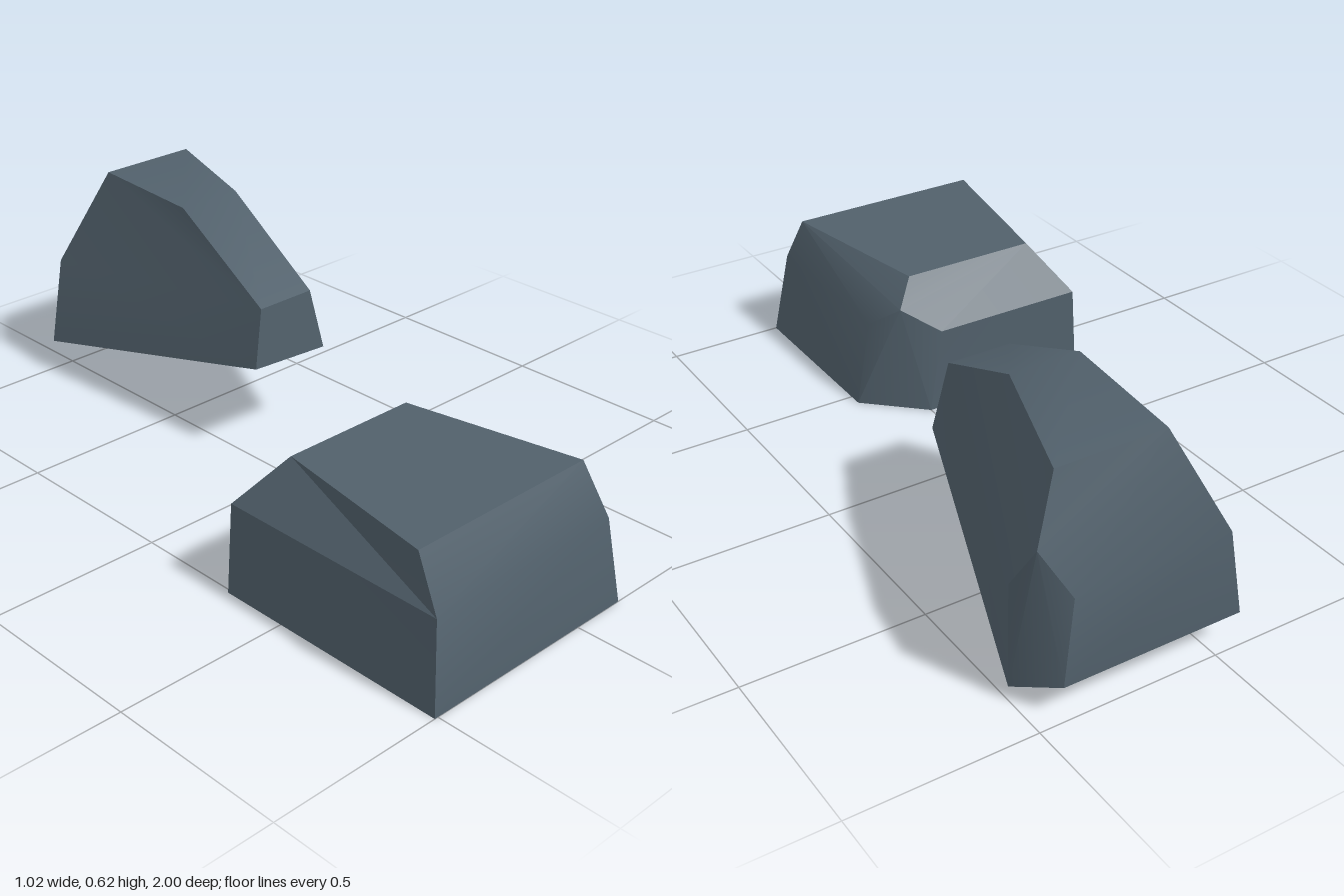
import * as THREE from 'three';
import { toCreasedNormals } from 'three/addons/utils/BufferGeometryUtils.js';

// Faces shared by every boulder: a bevelled block with one chipped corner.
// Corners: 0-1 front base, 2-3 front middle, 4-5 front top, 6-7 back top,
// 8-9 back middle, 10-11 back base, 12-13 side of the chip, 14 chip tip.
const FACES = [
  [0, 1, 3, 2], [2, 3, 5, 4],           // front
  [4, 5, 7, 6],                         // top
  [6, 7, 14, 9, 8], [8, 9, 11, 10],     // back
  [14, 13, 12, 11, 9],                  // chipped corner
  [3, 1, 12, 13], [5, 3, 13, 14, 7],    // +x side
  [0, 2, 8, 10], [2, 4, 6, 8],          // -x side
  [0, 10, 11, 12, 1],                   // underside
];

function boulder(name, corners, material) {
  const index = [];
  for (const f of FACES) {
    for (let i = 1; i < f.length - 1; i++) index.push(f[0], f[i], f[i + 1]);
  }
  const geometry = new THREE.BufferGeometry();
  geometry.setAttribute('position', new THREE.Float32BufferAttribute(corners.flat(), 3));
  geometry.setIndex(index);
  const mesh = new THREE.Mesh(toCreasedNormals(geometry, Math.PI / 6), material);
  mesh.name = name;
  return mesh;
}

export function createModel() {
  const group = new THREE.Group();
  group.name = 'boulders';
  const stone = new THREE.MeshStandardMaterial({ color: 0x51606b });
  stone.name = 'slate stone';

  // Low boulder resting on the ground
  group.add(boulder('groundBoulder', [
    [-0.51, 0, 1], [0.16, 0, 1],
    [-0.495, 0.25, 0.98], [0.115, 0.25, 0.98],
    [-0.485, 0.39, 0.91], [0.09, 0.39, 0.91],
    [-0.4, 0.39, 0.42], [0, 0.39, 0.42],
    [-0.495, 0.25, 0.31], [-0.04, 0.25, 0.31],
    [-0.51, 0, 0.31], [0, 0, 0.31],
    [0.16, 0, 0.46], [0.115, 0.25, 0.46], [0.06, 0.32, 0.37],
  ], stone));

  // Tilted boulder tapering towards the front
  group.add(boulder('tiltedBoulder', [
    [0, 0.28, -0.14], [0.26, 0.265, -0.14],
    [0.03, 0.45, -0.15], [0.215, 0.45, -0.15],
    [0.08, 0.625, -0.53], [0.28, 0.625, -0.53],
    [0.11, 0.625, -0.91], [0.415, 0.625, -0.91],
    [-0.02, 0.35, -1], [0.415, 0.34, -1],
    [-0.07, 0.095, -0.995], [0.43, 0.09, -0.99],
    [0.5, 0.04, -0.87], [0.508, 0.34, -0.88], [0.485, 0.465, -0.955],
  ], stone));

  return group;
}
